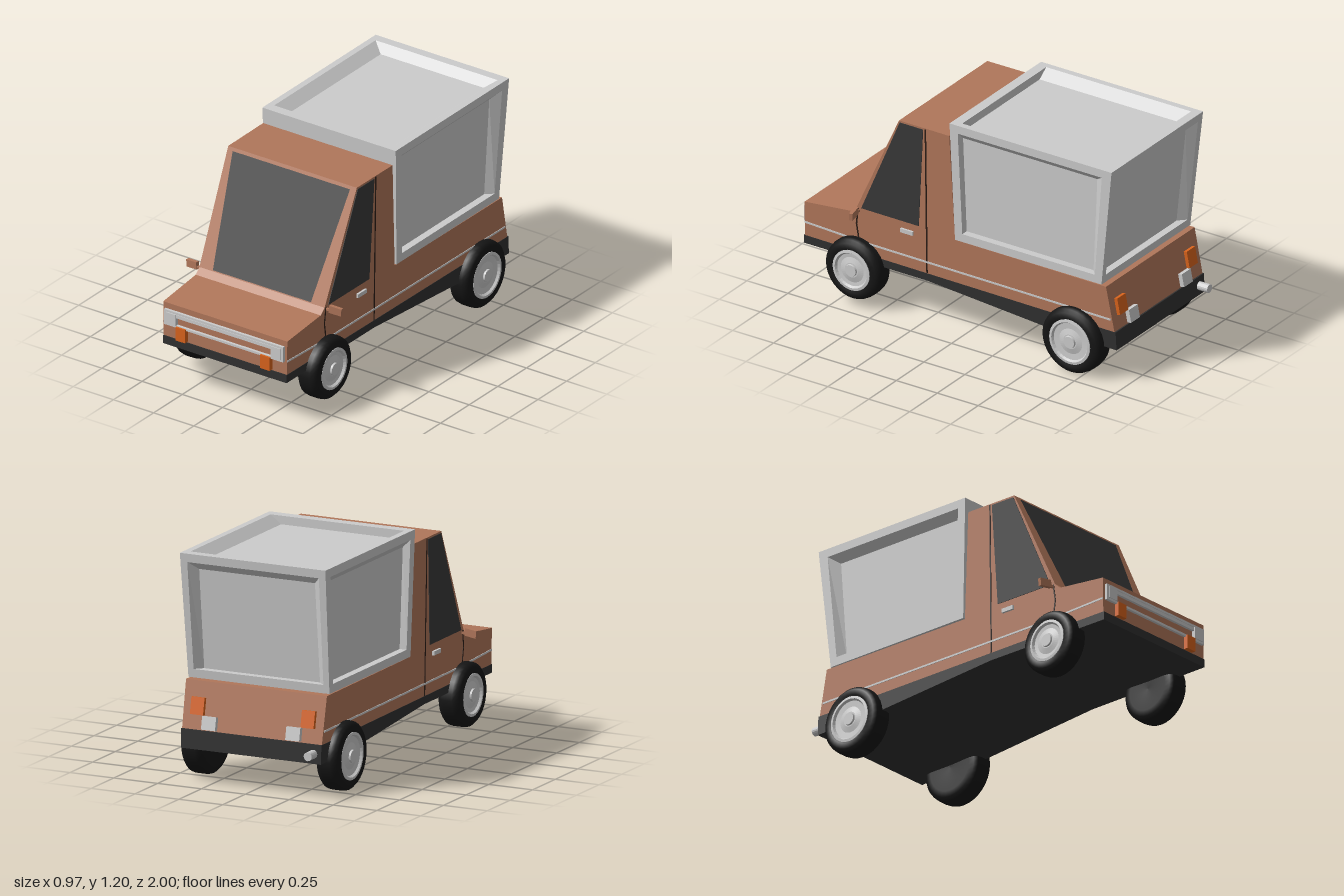
import * as THREE from 'three';

const mat = (color) => new THREE.MeshStandardMaterial({ color, flatShading: true });
const paint = mat(0xb0765a), grey = mat(0xcccccc), glass = mat(0x383838);
const black = mat(0x303030), amber = mat(0xd8631c), seamDark = mat(0x2a1c15);
const rubber = new THREE.MeshStandardMaterial({ color: 0x151515 });
const V = (x, y, z) => new THREE.Vector3(x, y, z);

// Half width of the body: sides lean out slightly upward and rearward
const sideX = (z, y) => 0.3865 - 0.0082 * z + 0.0149 * y;

// Full-width slab from a [z, y] profile whose ends follow the body sides
function slab(name, profile, material, off = 0) {
  const shape = new THREE.Shape(profile.map(([z, y]) => new THREE.Vector2(-z, y)));
  const geo = new THREE.ExtrudeGeometry(shape, { depth: 2, bevelEnabled: false });
  geo.rotateY(Math.PI / 2);
  const p = geo.attributes.position;
  for (let i = 0; i < p.count; i++) {
    const half = sideX(p.getZ(i), p.getY(i)) + off;
    p.setX(i, p.getX(i) > 1 ? half : -half);
  }
  geo.computeVertexNormals();
  const m = new THREE.Mesh(geo, material);
  m.name = name;
  return m;
}

function box(name, w, h, d, x, y, z, material) {
  const m = new THREE.Mesh(new THREE.BoxGeometry(w, h, d), material);
  m.position.set(x, y, z);
  m.name = name;
  return m;
}

// Quads given as corners running counter-clockwise seen from outside
function quadMesh(name, quads, material) {
  const pos = [];
  for (const [a, b, c, d] of quads) for (const v of [a, b, c, a, c, d]) pos.push(v.x, v.y, v.z);
  const geo = new THREE.BufferGeometry();
  geo.setAttribute('position', new THREE.Float32BufferAttribute(pos, 3));
  geo.computeVertexNormals();
  const m = new THREE.Mesh(geo, material);
  m.name = name;
  return m;
}

// Quads of a framed panel: flat border, reveal, sunken panel
function framed(outer, lip, inner) {
  const ring = (a, b) => a.map((v, i) => [v, a[(i + 1) % 4], b[(i + 1) % 4], b[i]]);
  return [...ring(outer, lip), ...ring(lip, inner), inner];
}

// Cargo box with recessed side, top and rear panels
function cargoBox() {
  const y0 = 0.535, y1 = 1.195;
  const t = (y) => (y - y0) / (y1 - y0);
  const hx = (y) => 0.402 + 0.013 * t(y);
  const zf = (y) => 0.045 + 0.025 * t(y);
  const zr = (y) => -0.85 - 0.07 * t(y);
  const at = (s, y, z, inset = 0) => V(s * (hx(y) - inset), y, z);
  const corner = (s, y, rear) => at(s, y, rear ? zr(y) : zf(y));
  const side = framed(
    [corner(1, y0, 0), corner(1, y0, 1), corner(1, y1, 1), corner(1, y1, 0)],
    [at(1, 0.58, 0), at(1, 0.58, -0.81), at(1, 1.15, -0.86), at(1, 1.15, 0.02)],
    [at(1, 0.58, 0, 0.04), at(1, 0.58, -0.775, 0.04), at(1, 1.11, -0.805, 0.04), at(1, 1.11, 0.015, 0.04)]);
  const mirrored = side.map((q) => q.map((v) => V(-v.x, v.y, v.z)).reverse());
  const top = framed(
    [corner(-1, y1, 0), corner(1, y1, 0), corner(1, y1, 1), corner(-1, y1, 1)],
    [V(-0.38, y1, 0.015), V(0.38, y1, 0.015), V(0.38, y1, -0.87), V(-0.38, y1, -0.87)],
    [V(-0.32, 1.15, 0.015), V(0.32, 1.15, 0.015), V(0.32, 1.15, -0.83), V(-0.32, 1.15, -0.83)]);
  const r = (x, y, inset = 0) => V(x, y, zr(y) + inset);
  const rear = framed(
    [corner(1, y0, 1), corner(-1, y0, 1), corner(-1, y1, 1), corner(1, y1, 1)],
    [r(0.37, 0.58), r(-0.37, 0.58), r(-0.375, 1.15), r(0.375, 1.15)],
    [r(0.33, 0.58, 0.04), r(-0.33, 0.58, 0.04), r(-0.33, 1.11, 0.04), r(0.33, 1.11, 0.04)]);
  const front = [corner(-1, y0, 0), corner(1, y0, 0), corner(1, y1, 0), corner(-1, y1, 0)];
  const base = [corner(-1, y0, 1), corner(1, y0, 1), corner(1, y0, 0), corner(-1, y0, 0)];
  return quadMesh('cargoBox', [...side, ...mirrored, ...top, ...rear, front, base], grey);
}

// Wheel: rounded tyre with a stepped metal disc, axis along x
function wheel(name, r, s, y, z) {
  const g = new THREE.Group();
  const pts = (a) => a.map(([x, h]) => new THREE.Vector2(x, h));
  const tyre = new THREE.LatheGeometry(pts([[0, -0.06], [r - 0.05, -0.065], [r - 0.02, -0.06], [r - 0.004, -0.045],
    [r, -0.025], [r, 0.025], [r - 0.004, 0.045], [r - 0.02, 0.06], [r - 0.05, 0.065], [r - 0.06, 0.05], [0, 0.045]]), 32);
  const disc = new THREE.LatheGeometry(pts([[r - 0.058, 0.04], [r - 0.056, 0.062], [r - 0.07, 0.064], [r - 0.078, 0.052],
    [0.07, 0.05], [0.04, 0.058], [0.034, 0.058], [0.032, 0.068], [0, 0.068]]), 32);
  const tyreMesh = new THREE.Mesh(tyre, rubber);
  tyreMesh.name = 'tyre';
  const discMesh = new THREE.Mesh(disc, grey);
  discMesh.name = 'wheelDisc';
  g.add(tyreMesh, discMesh);
  g.rotation.z = -s * Math.PI / 2;
  g.position.set(s * 0.386, y, z);
  g.name = name;
  return g;
}

export function createModel() {
  const model = new THREE.Group();
  model.name = 'pickupVan';

  // Body shell and dark lower sill
  model.add(slab('body', [[0.975, 0.28], [0.975, 0.48], [0.688, 0.51], [0.655, 0.54], [0.388, 1.115], [0.08, 1.115],
    [0.05, 0.53], [-0.877, 0.53], [-0.93, 0.27]], paint));
  model.add(slab('sill', [[0.98, 0.245], [0.98, 0.29], [-0.935, 0.285], [-0.94, 0.185], [-0.5, 0.195], [0.22, 0.247]], black, 0.002));

  // Glazing
  model.add(slab('sideWindows', [[0.625, 0.545], [0.383, 1.105], [0.24, 1.105], [0.272, 0.545]], glass, 0.003));
  const wz = (y) => 0.655 - 0.267 * (y - 0.54) / 0.575 + 0.004;
  model.add(quadMesh('windscreen', [[V(-0.305, 0.547, wz(0.547)), V(0.305, 0.547, wz(0.547)),
    V(0.365, 1.1, wz(1.1)), V(-0.365, 1.1, wz(1.1))]], glass));

  // Door seams, waist stripe and handles
  model.add(slab('rearDoorSeam', [[0.228, 0.29], [0.23, 1.11], [0.222, 1.11], [0.22, 0.29]], seamDark, 0.002));
  model.add(slab('frontDoorSeam', [[0.645, 0.36], [0.66, 0.45], [0.648, 0.54], [0.64, 0.54], [0.652, 0.45], [0.637, 0.36]], seamDark, 0.002));
  model.add(slab('stripe', [[0.974, 0.361], [0.974, 0.371], [0.6, 0.358], [-0.905, 0.355], [-0.905, 0.345], [0.6, 0.348]], grey, 0.003));
  model.add(slab('doorHandles', [[0.38, 0.483], [0.38, 0.505], [0.305, 0.505], [0.305, 0.483]], grey, 0.012));

  model.add(cargoBox());

  // Grille: light surround with a crossbar
  for (const [y, h, w] of [[0.442, 0.012, 0.74], [0.425, 0.018, 0.59], [0.368, 0.012, 0.74]])
    model.add(box('grilleBar', w, h, 0.02, 0, y, 0.98, grey));

  for (const s of [1, -1]) {
    const side = s > 0 ? 'left' : 'right';
    // Front lamps
    model.add(box(side + 'GrilleEnd', 0.012, 0.08, 0.02, s * 0.364, 0.405, 0.98, grey));
    model.add(box(side + 'Headlight', 0.062, 0.062, 0.024, s * 0.326, 0.405, 0.983, grey));
    model.add(box(side + 'FrontIndicator', 0.06, 0.075, 0.03, s * 0.263, 0.333, 0.985, amber));
    // Rear lamps, leaning with the tail
    const tail = box(side + 'TailLight', 0.075, 0.09, 0.03, s * 0.315, 0.405, -0.907, amber);
    const reverse = box(side + 'ReverseLight', 0.08, 0.07, 0.035, s * 0.24, 0.325, -0.925, grey);
    tail.rotation.x = reverse.rotation.x = 0.2;
    model.add(tail, reverse);
    // Door mirror on a short stalk
    const mirror = box(side + 'Mirror', 0.07, 0.04, 0.02, s * 0.445, 0.533, 0.635, paint);
    mirror.rotation.set(0, s * 0.15, -s * 0.1);
    model.add(mirror, box(side + 'MirrorStalk', 0.04, 0.012, 0.012, s * 0.4, 0.528, 0.64, paint));
    // Wheels
    model.add(wheel(side + 'FrontWheel', 0.168, s, 0.207, 0.65));
    model.add(wheel(side + 'RearWheel', 0.18, s, 0.18, -0.685));
  }

  // Exhaust pipe
  const pipe = new THREE.Mesh(new THREE.CylinderGeometry(0.023, 0.023, 0.12, 16), grey);
  pipe.rotation.x = Math.PI / 2;
  pipe.position.set(-0.355, 0.235, -0.94);
  pipe.name = 'exhaust';
  model.add(pipe);
  return model;
}
